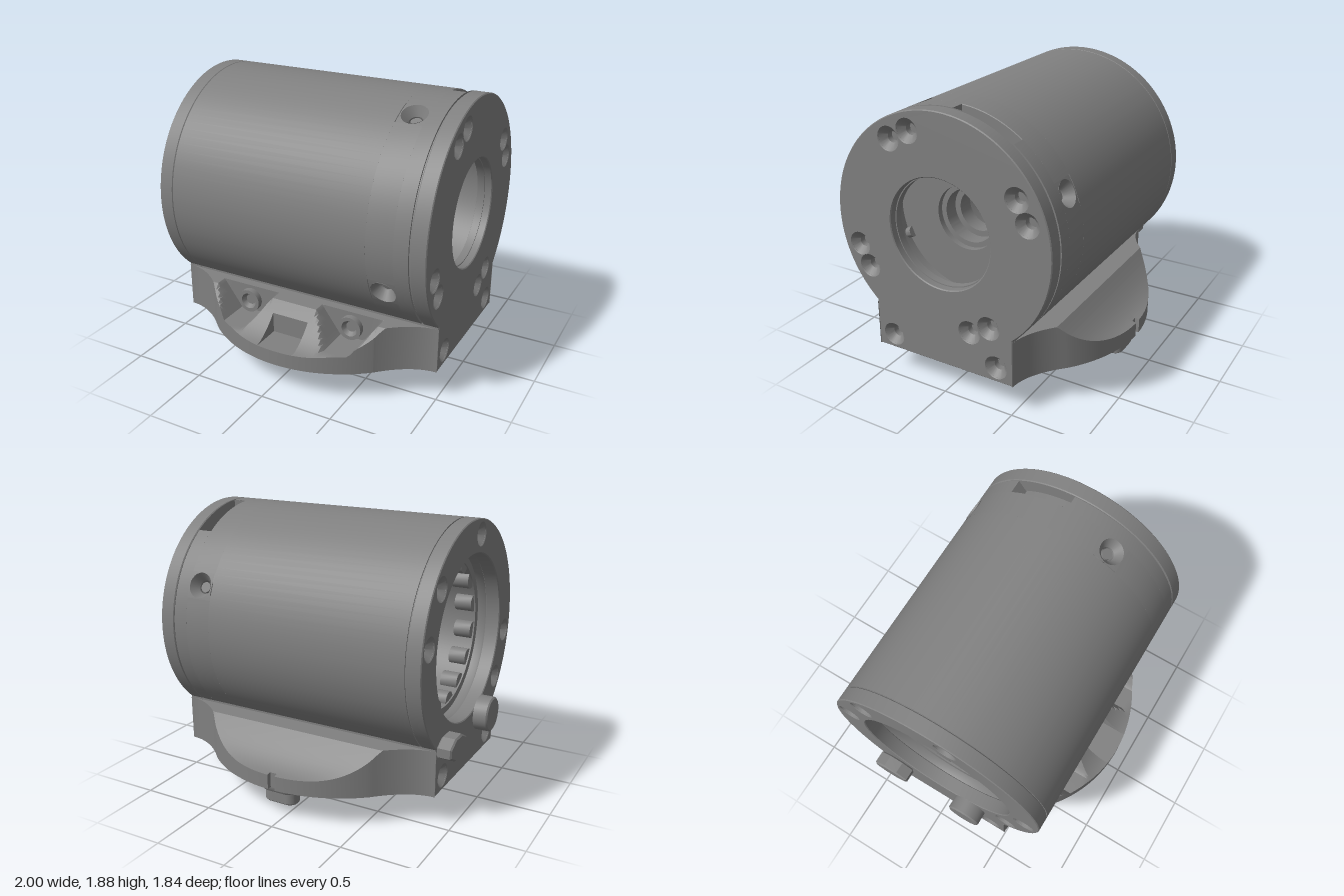
import * as THREE from 'three';
import { toCreasedNormals } from 'three/addons/utils/BufferGeometryUtils.js';
import { ParametricGeometry } from 'three/addons/geometries/ParametricGeometry.js';

const CY = 1.11, R = 0.77, MID = 0.05, TAU = Math.PI * 2;
const mat = new THREE.MeshStandardMaterial({ color: 0x808080, side: THREE.DoubleSide });

export function createModel() {
  const group = new THREE.Group();

  const add = (name, geo, x = 0, y = 0, z = 0) => {
    const mesh = new THREE.Mesh(toCreasedNormals(geo, 0.5), mat);
    mesh.name = name;
    mesh.position.set(x, y, z);
    group.add(mesh);
    return mesh;
  };
  const lathe = (pts, seg, start, len) =>
    new THREE.LatheGeometry(pts.map(([r, y]) => new THREE.Vector2(r, y)), seg, start, len);

  // Surface revolved about the barrel axis, from [x, radius] points
  const revolve = (name, pts, start = 0, len = TAU) => {
    const seg = Math.max(6, Math.round(96 * len / TAU));
    return add(name, lathe(pts.map(([x, r]) => [r, x]), seg, start, len).rotateZ(-Math.PI / 2), 0, CY, 0);
  };
  // Small turned part whose axis points along dir
  const turned = (name, pts, pos, dir, seg = 24) => {
    const mesh = add(name, lathe(pts, seg), ...pos);
    mesh.quaternion.setFromUnitVectors(new THREE.Vector3(0, 1, 0), new THREE.Vector3(...dir).normalize());
    return mesh;
  };
  const sink = [[0.08, 0], [0.036, -0.045], [0.036, -0.085], [0, -0.085]];
  const circle = (x, y, r) => new THREE.Path().absarc(x, y, r, 0, TAU, true);

  // End plates: round top standing on straight legs, with screw holes
  const endPlate = (name, x0, x1, bore, holes, out) => {
    const a = Math.acos(0.51 / R);
    const s = new THREE.Shape();
    s.moveTo(-0.51, 0.21);
    s.lineTo(0.51, 0.21);
    s.absarc(0, CY, R, -a, Math.PI + a, false);
    s.closePath();
    s.holes.push(circle(0, CY, bore));
    holes.forEach(([z, y]) => s.holes.push(circle(-z, y, 0.073)));
    const b = 0.006;
    const geo = new THREE.ExtrudeGeometry(s, {
      depth: x1 - x0 - 2 * b, bevelSize: b, bevelThickness: b, bevelOffset: -b, bevelSegments: 1, curveSegments: 48,
    });
    add(name, geo.translate(0, 0, b).rotateY(Math.PI / 2), x0, 0, 0);
    holes.forEach(([z, y]) => turned(name + 'ScrewHole', sink, [out > 0 ? x1 : x0, y, z], [out, 0, 0]));
  };
  const feet = [[0.39, 0.31], [-0.39, 0.31]];
  endPlate('leftEndPlate', 0.895, 1, 0.362, [[0.34, 1.66], [0.2, 1.73], [-0.54, 1.45], [-0.61, 1.31],
    [0.62, 0.91], [0.55, 0.77], [-0.34, 0.57], [-0.2, 0.5], ...feet], 1);
  const ring = [80, 139, 170, -10, -39].map((d) => {
    const t = d * Math.PI / 180;
    return [0.67 * Math.cos(t), CY + 0.67 * Math.sin(t)];
  });
  endPlate('rightEndPlate', -0.9, -0.798, 0.55, [...ring, ...feet], -1);

  // Barrel skin with fine seams at both plates
  const X0 = 0.61, X1 = 0.79, X2 = 0.887, HALF = 0.09 / R;
  revolve('barrel', [[-0.8, 0.762], [-0.795, 0.762], [-0.795, R], [X0, R], [X0 + 0.005, 0.76]]);
  revolve('barrelSeam', [[X2, R], [X2, 0.757], [0.9, 0.757]]);

  // Barrel band with three radial screw holes
  const centres = [-2.725, -1.142, 0.417];
  centres.forEach((c, i) => {
    const next = i < 2 ? centres[i + 1] : centres[0] + TAU;
    revolve('barrelBand', [[X0, R], [X1, R], [X1 + 0.003, 0.765]], c + HALF, next - c - 2 * HALF);
    add('barrelHolePatch', new ParametricGeometry((u, v, p) => {
      const a = u * TAU, ca = Math.cos(a), sa = Math.sin(a);
      const r = THREE.MathUtils.lerp(0.084, 0.09 / Math.max(Math.abs(ca), Math.abs(sa)), v);
      const f = c + r * sa / R;
      p.set(0.705 + r * ca, -R * Math.sin(f), R * Math.cos(f));
    }, 32, 2), 0, CY, 0);
    const dir = [0, -Math.sin(c), Math.cos(c)];
    const at = (r) => [0.705, CY + dir[1] * r, dir[2] * r];
    turned('radialScrewHole', [[0.085, 0], [0.045, -0.06], [0.045, -0.12], [0, -0.12]], at(R), dir);
    turned('radialScrew', [[0, -0.25], [0.035, -0.25], [0.035, 0], [0, 0]], at(0.71), dir);
  });

  // Slot in the top of the barrel beside the left plate
  const S0 = -2.21, S1 = -1.636;
  revolve('barrelRim', [[X1, R], [X2, R]], S1, TAU - (S1 - S0));
  revolve('barrelSlot', [[X1, R], [X1, 0.67], [0.895, 0.67], [0.895, 0.76]], S0, S1 - S0);
  for (const f of [S0, S1]) {
    const wall = new THREE.BoxGeometry(X2 - X1, 0.004, 0.098).translate(0, 0, 0.72).rotateX(f);
    add('slotWall', wall, (X1 + X2) / 2, CY, 0);
  }

  // Inner bore: deep right chamber, stepped web, shallow left chamber
  revolve('innerBore', [[-0.81, 0.56], [-0.79, 0.55], [-0.74, 0.55], [-0.74, 0.5], [0.45, 0.5], [0.45, 0.14],
    [0.56, 0.14], [0.56, 0.18], [0.66, 0.18], [0.66, 0.215], [0.7, 0.215], [0.7, 0.5], [0.9, 0.5]]);
  revolve('boreLip', [[0.9, 0.5], [0.9, 0.355], [0.95, 0.355], [0.95, 0.366]]);
  for (let i = 0; i < 16; i++) {
    const t = (i + 0.5) / 16 * TAU;
    turned('boreRoller', [[0, -0.06], [0.06, -0.06], [0.06, 0.06], [0, 0.06]],
      [-0.67, CY + 0.5 * Math.sin(t), 0.5 * Math.cos(t)], [1, 0, 0], 16);
  }

  // Base block under the barrel
  add('baseBlock', new THREE.BoxGeometry(1.7, 0.33, 1.02), MID, 0.375, 0);

  // Curved side flanges, swept along x from a sloping section
  const outline = (x) => {
    const d = Math.abs(x - MID);
    if (d < 0.6) return Math.sqrt(0.92 * 0.92 - d * d);
    const s = Math.min(1, (d - 0.6) / 0.35);
    return 0.51 + 0.187 * Math.pow(1 - s, 1.9);
  };
  const slope = (z) => 0.31 + 0.21 * Math.pow(1 - THREE.MathUtils.clamp((z - 0.65) / 0.27, 0, 1), 1.7);
  const zs = [0.5, 0.57, 0.571, 0.61, 0.65, 0.68, 0.71, 0.711, 0.74, 0.77, 0.8, 0.84, 0.88, 0.94];
  // Each cut is [centre x, half width, edge setback, floor height at (z, offset from centre)]
  const flange = (name, side, cuts) => {
    const xs = Array.from({ length: 97 }, (_, i) => -0.9 + 1.9 * i / 96);
    cuts.forEach(([c, w]) => xs.push(c - w - 0.001, c - w + 0.001, c + w - 0.001, c + w + 0.001));
    xs.sort((a, b) => a - b);
    add(name, new ParametricGeometry((u, v, p) => {
      const x = xs[Math.round(u * (xs.length - 1))];
      const k = Math.round(v * (zs.length + 1));
      const cut = cuts.find(([c, w]) => Math.abs(x - c) < w);
      const edge = outline(x) - (cut ? cut[2] : 0);
      if (k >= zs.length) return p.set(x, 0.21, side * (k === zs.length ? edge : 0.5));
      const z = Math.min(zs[k], edge);
      const y = cut ? Math.min(slope(z), cut[3](z, Math.abs(x - cut[0]))) : slope(z);
      return p.set(x, y, side * z);
    }, xs.length - 1, zs.length + 1));
  };
  // Front has two flared screw pockets and a middle notch, back has a small edge slot
  const pocket = (z, d) => (z > 0.5705 ? 0.335 + 0.185 * Math.max(0, (d - 0.085) / 0.135) : 0.52);
  const notch = (z) => (z > 0.7105 ? 0.31 : 0.52);
  flange('frontFlange', 1, [[-0.34, 0.22, 0, pocket], [MID, 0.13, 0, notch], [0.43, 0.22, 0, pocket]]);
  flange('backFlange', -1, [[MID, 0.025, 0.03, () => 0.52]]);
  for (const x of [-0.34, 0.43]) {
    turned('flangeScrew', [[0.08, 0], [0.08, 0.04], [0.055, 0.04], [0.036, 0.01], [0, 0.01]], [x, 0.42, 0.572], [0, 0, 1]);
  }

  // Round foot with four small holes and a centre spigot
  const disc = new THREE.Shape().absarc(0, 0, 0.41, 0, TAU, false);
  for (let i = 0; i < 4; i++) {
    const t = i * Math.PI / 2;
    disc.holes.push(circle(0.23 * Math.cos(t), 0.23 * Math.sin(t), 0.028));
  }
  const bevel = { bevelSize: 0.01, bevelThickness: 0.01, bevelOffset: -0.01, bevelSegments: 1 };
  add('mountingDisc', new THREE.ExtrudeGeometry(disc, { depth: 0.08, ...bevel, curveSegments: 48 })
    .rotateX(Math.PI / 2), MID, 0.21, 0);
  turned('centreSpigot', [[0, 0], [0.12, 0], [0.132, 0.015], [0.132, 0.11], [0.14, 0.125]], [MID, 0, 0], [0, 1, 0], 40);

  // Oblong key below the back flange, flaring where it meets the flange
  const key = (r) => {
    const s = new THREE.Shape();
    s.absarc(0.06, 0, r, -Math.PI / 2, Math.PI / 2, false);
    s.absarc(-0.06, 0, r, Math.PI / 2, Math.PI * 1.5, false);
    return s.closePath();
  };
  add('backKey', new THREE.ExtrudeGeometry(key(0.06), { depth: 0.12, ...bevel }).rotateX(Math.PI / 2), MID, 0.21, -0.79);
  add('backKeyFlare', new THREE.ExtrudeGeometry(key(0.09), {
    depth: 0.01, bevelSize: 0.03, bevelThickness: 0.05, bevelOffset: -0.03, bevelSegments: 3,
  }).rotateX(Math.PI / 2), MID, 0.22, -0.79);

  // Locating pins on the right plate: one round, one relieved to a diamond
  turned('roundPin', [[0, 0], [0.12, 0], [0.12, 0.09], [0.11, 0.1], [0, 0.1]], [-0.9, 0.52, 0.23], [-1, 0, 0], 32);
  const diamond = new THREE.Shape([[-0.13, 0.03], [-0.13, -0.03], [-0.05, -0.075], [0.05, -0.075],
    [0.13, -0.03], [0.13, 0.03], [0.05, 0.075], [-0.05, 0.075]].map(([a, b]) => new THREE.Vector2(a, b)));
  add('diamondPin', new THREE.ExtrudeGeometry(diamond, { depth: 0.08, ...bevel }).rotateY(-Math.PI / 2), -0.91, 0.52, -0.38);

  return group;
}
